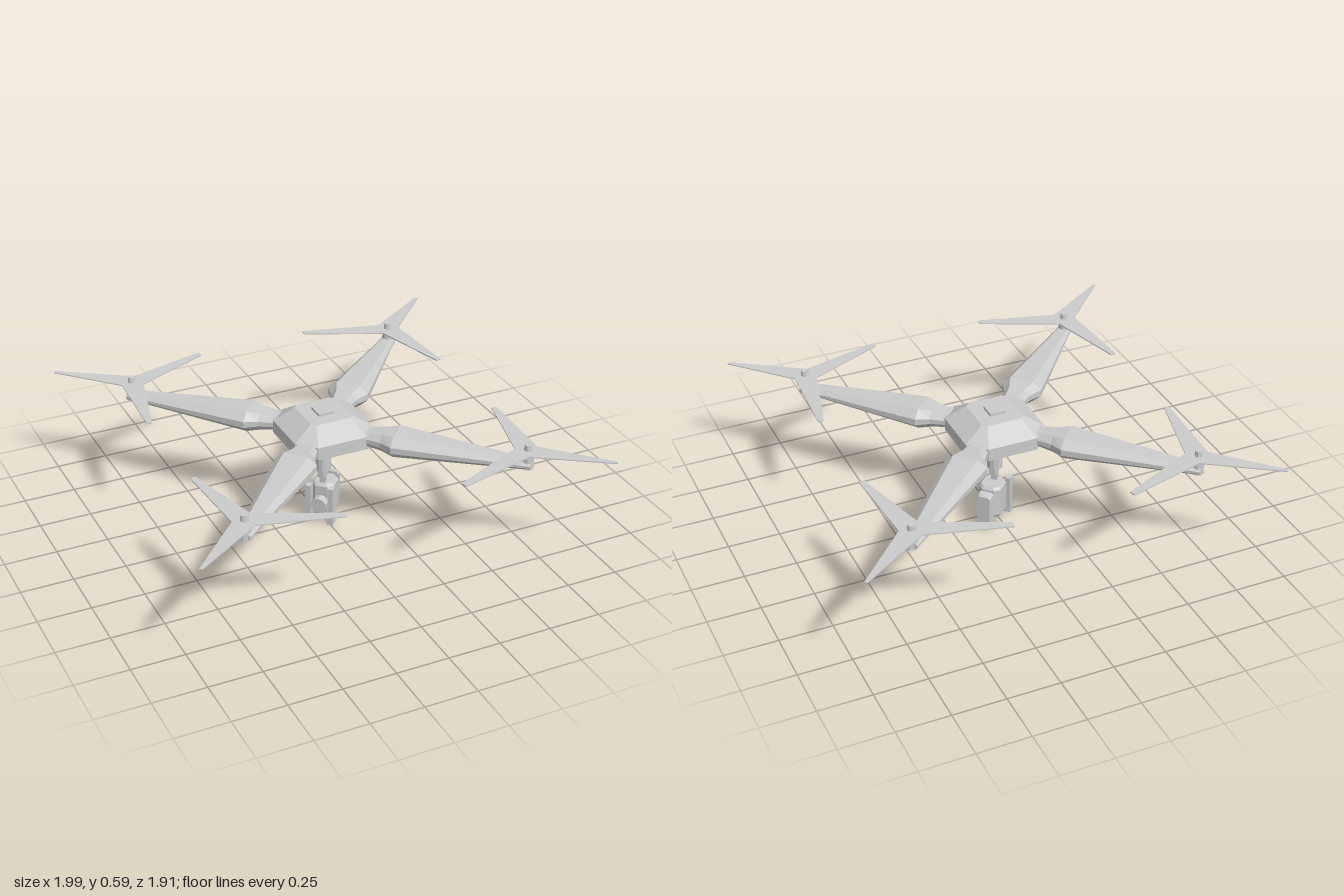
import * as THREE from 'three';

const mat = new THREE.MeshStandardMaterial({ color: 0xcccccc, flatShading: true });

function add(parent, name, geo, x = 0, y = 0, z = 0) {
  const m = new THREE.Mesh(geo, mat);
  m.name = name;
  m.position.set(x, y, z);
  parent.add(m);
  return m;
}

// Closed, faceted solid through counter-clockwise rings [x, y] placed along z
function loft(sections) {
  const rings = sections.map(({ at, ring }) => ring.map(([x, y]) => [x, y, at]));
  const n = rings[0].length, out = [];
  const tri = (...p) => p.forEach(v => out.push(...v));
  for (let i = 0; i < rings.length - 1; i++) {
    for (let j = 0; j < n; j++) {
      const k = (j + 1) % n;
      tri(rings[i][j], rings[i][k], rings[i + 1][k]);
      tri(rings[i][j], rings[i + 1][k], rings[i + 1][j]);
    }
  }
  const first = rings[0], last = rings[rings.length - 1];
  for (let j = 1; j < n - 1; j++) {
    tri(first[0], first[j + 1], first[j]);
    tri(last[0], last[j], last[j + 1]);
  }
  const g = new THREE.BufferGeometry();
  g.setAttribute('position', new THREE.Float32BufferAttribute(out, 3));
  g.computeVertexNormals();
  return g;
}

// Rectangle with cut corners
const cutRect = (w, h, cx, cy = cx) => [
  [w, -h + cy], [w, h - cy], [w - cx, h], [-w + cx, h],
  [-w, h - cy], [-w, -h + cy], [-w + cx, -h], [w - cx, -h],
];

function bodyGeometry() {
  return loft([
    { at: 0.417, ring: cutRect(0.11, 0.115, 0.02) },
    { at: 0.45, ring: cutRect(0.2, 0.205, 0.08) },
    { at: 0.512, ring: cutRect(0.2, 0.205, 0.08) },
    { at: 0.575, ring: cutRect(0.105, 0.11, 0.02) },
  ]).rotateX(-Math.PI / 2);
}

// Arm: narrow neck, wide shoulder, long taper; [distance, half width, half height]
function armGeometry() {
  const stations = [
    [0.17, 0.052, 0.034], [0.24, 0.056, 0.036], [0.3, 0.067, 0.043],
    [0.36, 0.1, 0.052], [0.905, 0.042, 0.022], [0.995, 0.034, 0.017],
  ];
  return loft(stations.map(([at, w, h]) => ({ at, ring: cutRect(w, h, w * 0.4, h * 0.7) })));
}

// Three-bladed propeller as one thin outline, mirrored per corner
function propellerGeometry(sx, sz) {
  const outline = [
    [-0.027, 0.053], [0.296, 0.267], [0.307, 0.257],
    [0.053, -0.011], [0.078, -0.418], [0.053, -0.421],
    [-0.046, -0.042], [-0.411, 0.126], [-0.405, 0.155],
  ];
  const shape = new THREE.Shape(outline.map(([u, v]) => new THREE.Vector2(u * sx, v * sz)));
  return new THREE.ExtrudeGeometry(shape, { depth: 0.005, bevelEnabled: false }).rotateX(Math.PI / 2);
}

function createRotor(sx, sz) {
  const rotor = new THREE.Group();
  rotor.name = 'rotor';
  rotor.position.set(0.69 * sx, 0, 0.69 * sz);
  add(rotor, 'motor', new THREE.CylinderGeometry(0.026, 0.03, 0.074, 10), 0, 0.505, 0);
  add(rotor, 'shaft', new THREE.CylinderGeometry(0.012, 0.012, 0.03, 8), 0, 0.55, 0);
  add(rotor, 'propeller', propellerGeometry(sx, sz), 0, 0.556, 0);
  add(rotor, 'rotorCap', new THREE.CylinderGeometry(0.017, 0.02, 0.026, 8), 0, 0.571, 0);
  return rotor;
}

// Camera hanging below, turned towards a corner
function createCamera() {
  const cam = new THREE.Group();
  cam.name = 'camera';
  cam.rotation.y = -Math.PI / 4;
  const box = (name, w, h, d, x, y, z) => add(cam, name, new THREE.BoxGeometry(w, h, d), x, y, z);

  const caseRing = cutRect(0.055, 0.06, 0.025);
  const inner = cutRect(0.045, 0.05, 0.02);
  add(cam, 'cameraBody', loft([
    { at: 0.03, ring: inner }, { at: 0.045, ring: caseRing },
    { at: 0.185, ring: caseRing }, { at: 0.198, ring: inner },
  ]).rotateX(-Math.PI / 2), 0, 0, -0.03);

  const lens = add(cam, 'lens', new THREE.CylinderGeometry(0.038, 0.04, 0.05, 10), 0, 0.1, 0.042);
  lens.rotation.x = Math.PI / 2;

  // Upright frame posts on both sides of the lens
  for (const s of [-1, 1]) {
    box('framePost', 0.026, 0.175, 0.035, 0.056 * s, 0.1075, 0.042);
    box('frontFoot', 0.03, 0.022, 0.035, 0.054 * s, 0.011, 0.042);
  }
  box('rearBracket', 0.05, 0.12, 0.05, 0, 0.1, -0.1);
  add(cam, 'rearPlate', loft([
    { at: -0.15, ring: cutRect(0.032, 0.08, 0.01) },
    { at: -0.112, ring: cutRect(0.038, 0.088, 0.01) },
  ]), 0, 0.103, 0);
  box('rearFoot', 0.06, 0.03, 0.06, 0, 0.015, -0.1);
  return cam;
}

export function createModel() {
  const drone = new THREE.Group();
  drone.name = 'quadcopter';

  add(drone, 'body', bodyGeometry());
  add(drone, 'topCap', new THREE.BoxGeometry(0.08, 0.02, 0.08), 0, 0.577, 0);

  // Four diagonal arms with rotors
  const arm = armGeometry();
  for (const sx of [-1, 1]) {
    for (const sz of [-1, 1]) {
      add(drone, 'arm', arm, 0, 0.486, 0).rotation.y = Math.atan2(sx, sz);
      drone.add(createRotor(sx, sz));
    }
  }

  // Hanging mount
  add(drone, 'mountColumn', new THREE.CylinderGeometry(0.037, 0.037, 0.155, 12), 0, 0.345, 0);
  for (const s of [-1, 1]) {
    const tab = add(drone, 'mountTab', new THREE.BoxGeometry(0.016, 0.04, 0.03), 0.018 * s, 0.256, -0.018 * s);
    tab.rotation.y = Math.PI / 4;
  }
  add(drone, 'mountNeck', new THREE.BoxGeometry(0.028, 0.09, 0.028), 0, 0.23, 0).rotation.y = Math.PI / 4;
  drone.add(createCamera());

  return drone;
}
